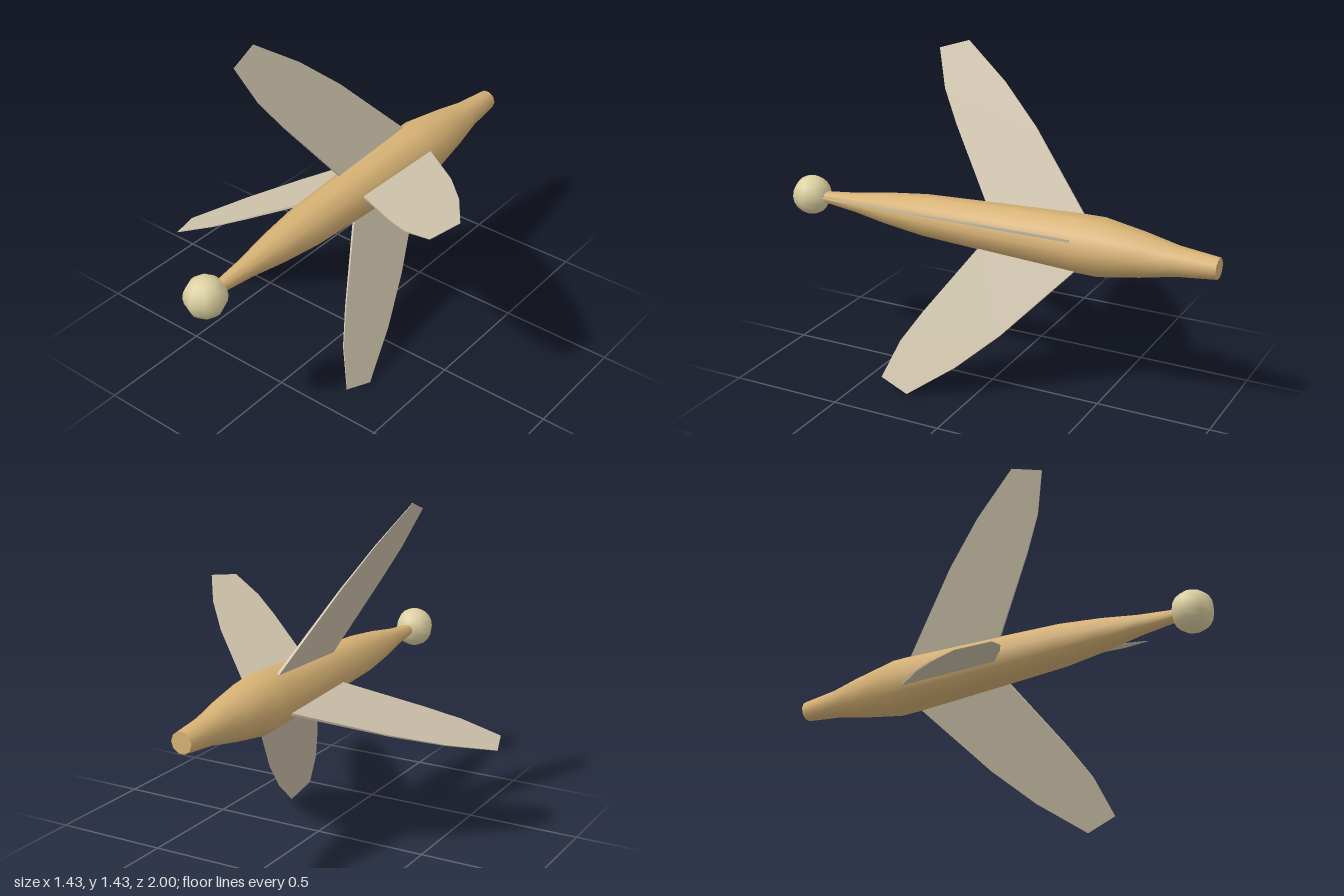
import * as THREE from 'three';
import { toCreasedNormals } from 'three/addons/utils/BufferGeometryUtils.js';

const AXIS_Y = 0.72;

const bodyTan = new THREE.MeshStandardMaterial({ name: 'bodyTan', color: 0xd6b174 });
const ballCream = new THREE.MeshStandardMaterial({ name: 'ballCream', color: 0xdbd0a0 });
const finBeige = new THREE.MeshStandardMaterial({ name: 'finBeige', color: 0xcdc2aa });

function addMesh(group, name, geometry, material) {
  const mesh = new THREE.Mesh(geometry, material);
  mesh.name = name;
  group.add(mesh);
  return mesh;
}

// Ten-sided spindle along z: [radius, z] from tail to nose
function bodyGeometry() {
  const profile = [
    [0, -1], [0.045, -1], [0.063, -0.83], [0.094, -0.68], [0.124, -0.5],
    [0.123, -0.4], [0.104, 0.05], [0.091, 0.33], [0.069, 0.52],
    [0.043, 0.68], [0.027, 0.83], [0.025, 0.88], [0, 0.88],
  ].map(([r, z]) => new THREE.Vector2(r, z));
  const lathe = new THREE.LatheGeometry(profile, 10, Math.PI / 2);
  lathe.rotateX(Math.PI / 2);
  return toCreasedNormals(lathe, 0.8);
}

// Swept blade, x = distance from the axis, thinning towards the tip
function finGeometry() {
  const outline = [
    [0.06, -0.4], [0.12, -0.4], [0.444, -0.12], [0.617, 0.06], [0.774, 0.265],
    [0.727, 0.4], [0.555, 0.34], [0.41, 0.255], [0.1, 0.05], [0.06, 0.05],
  ].map(([r, z]) => new THREE.Vector2(r, z));
  const geometry = new THREE.ExtrudeGeometry(new THREE.Shape(outline), { depth: 1, bevelEnabled: false });
  const pos = geometry.attributes.position;
  for (let i = 0; i < pos.count; i++) {
    const thickness = THREE.MathUtils.mapLinear(pos.getX(i), 0.06, 0.774, 0.012, 0.002);
    pos.setZ(i, (pos.getZ(i) - 0.5) * thickness);
  }
  geometry.rotateX(Math.PI / 2);
  geometry.computeVertexNormals();
  return geometry;
}

export function createModel() {
  const model = new THREE.Group();
  model.name = 'finnedDart';

  addMesh(model, 'body', bodyGeometry(), bodyTan).position.y = AXIS_Y;

  // Round nose
  const ball = addMesh(model, 'noseBall', new THREE.SphereGeometry(0.088, 8, 10), ballCream);
  ball.position.set(0, AXIS_Y, 0.912);

  // Four fins, a quarter turn apart
  const fin = finGeometry();
  ['leftFin', 'topFin', 'rightFin', 'bottomFin'].forEach((name, i) => {
    const mesh = addMesh(model, name, fin, finBeige);
    mesh.position.y = AXIS_Y;
    mesh.rotation.z = Math.PI / 8 + (i * Math.PI) / 2;
  });

  return model;
}
